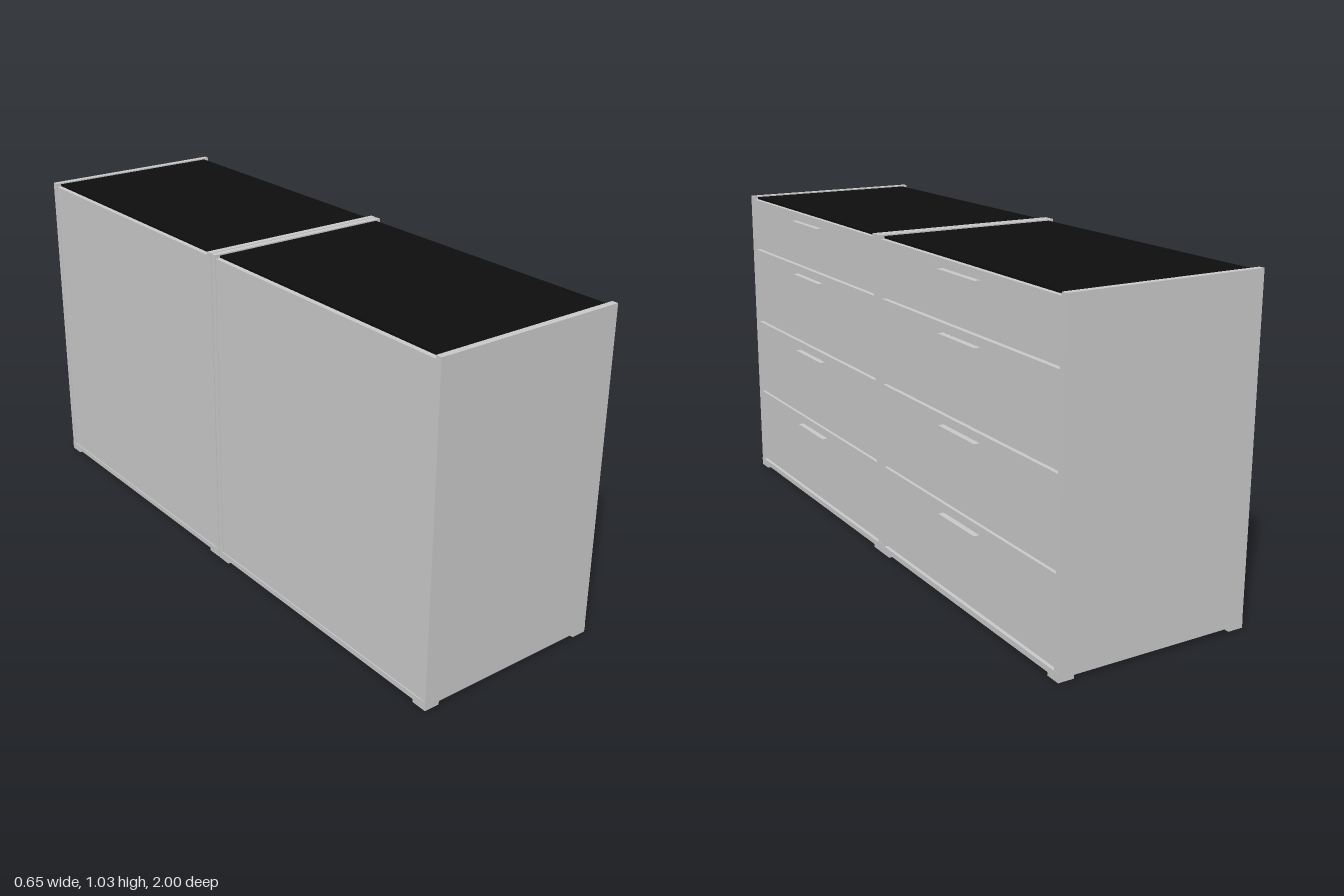
import * as THREE from 'three';

const grey = new THREE.MeshStandardMaterial({ color: 0xc8c8c8 });
grey.name = 'light grey';
const black = new THREE.MeshStandardMaterial({ color: 0x0d0d0d });
black.name = 'black top';

// Box given by its lower and upper corners
function box(name, material, [x0, y0, z0], [x1, y1, z1]) {
  const mesh = new THREE.Mesh(new THREE.BoxGeometry(x1 - x0, y1 - y0, z1 - z0), material);
  mesh.position.set((x0 + x1) / 2, (y0 + y1) / 2, (z0 + z1) / 2);
  mesh.name = name;
  return mesh;
}

// One chest, centred on z = 0, drawers facing +x
function chest(name) {
  const g = new THREE.Group();
  g.name = name;
  const back = -0.323, front = 0.307, half = 0.499, inner = 0.479;

  // Plinth and feet
  g.add(box('basePlate', grey, [back - 0.001, 0.011, -half], [front + 0.001, 0.028, half]));
  for (const x of [back, front - 0.05]) {
    for (const z of [-half, half - 0.05]) {
      g.add(box('foot', grey, [x, 0, z], [x + 0.05, 0.011, z + 0.05]));
    }
  }

  // Side panels
  for (const z of [-half, inner]) {
    g.add(box('sidePanel', grey, [back, 0.028, z], [front, 1.033, z + 0.02]));
  }

  // Back panel, inner carcass and inset top
  g.add(box('backPanel', grey, [back + 0.002, 0.028, -inner], [-0.305, 1.022, inner]));
  g.add(box('carcass', grey, [-0.305, 0.028, -inner], [0.288, 1.02, inner]));
  g.add(box('topPanel', black, [-0.305, 1.02, -inner], [0.29, 1.029, inner]));

  // Drawer fronts with bar handles
  const drawers = [
    [0.036, 0.299, 0.268], [0.307, 0.569, 0.538], [0.577, 0.839, 0.808], [0.847, 1.022, 0.991],
  ];
  for (const [y0, y1, handleY] of drawers) {
    g.add(box('drawerFront', grey, [0.29, y0, -inner + 0.004], [front - 0.002, y1, inner - 0.004]));
    g.add(box('drawerHandle', grey, [0.304, handleY - 0.004, -0.1], [0.323, handleY + 0.004, 0.1]));
  }
  return g;
}

export function createModel() {
  const model = new THREE.Group();
  model.name = 'twinDrawerChest';
  for (const side of [-1, 1]) {
    const unit = chest(side < 0 ? 'rearChest' : 'frontChest');
    unit.position.z = side * 0.501;
    model.add(unit);
  }
  return model;
}
